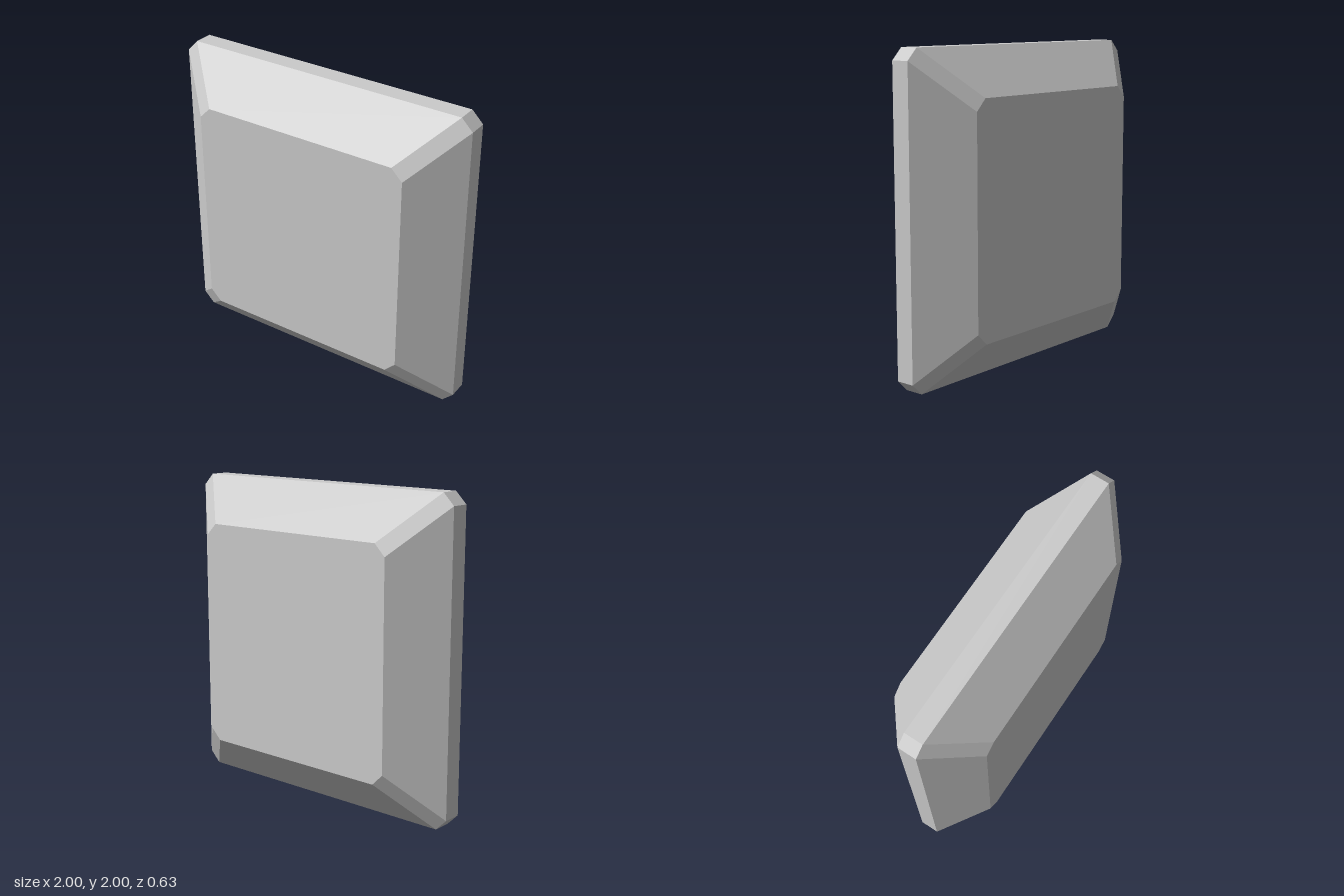
import * as THREE from 'three';

// Square outline with clipped corners, counter-clockwise seen from the front
function outline(half, clip, z) {
  const c = half - clip;
  return [[half, -c], [half, c], [c, half], [-c, half], [-half, c], [-half, -c], [-c, -half], [c, -half]]
    .map(([x, y]) => [x, y + 1, z]);
}

// Flat-shaded solid through a stack of outlines, capped at both ends
function loft(rings) {
  const pos = [];
  const tri = (a, b, c) => pos.push(...a, ...b, ...c);
  const n = rings[0].length;
  for (let k = 0; k < rings.length - 1; k++) {
    for (let i = 0; i < n; i++) {
      const j = (i + 1) % n;
      tri(rings[k][i], rings[k][j], rings[k + 1][j]);
      tri(rings[k][i], rings[k + 1][j], rings[k + 1][i]);
    }
  }
  const back = rings[0], front = rings[rings.length - 1];
  for (let i = 1; i < n - 1; i++) {
    tri(back[0], back[i + 1], back[i]);
    tri(front[0], front[i], front[i + 1]);
  }
  const geometry = new THREE.BufferGeometry();
  geometry.setAttribute('position', new THREE.Float32BufferAttribute(pos, 3));
  geometry.computeVertexNormals();
  return geometry;
}

export function createModel() {
  const group = new THREE.Group();
  group.name = 'bevelledTile';

  // Back face, rim, and front face
  const clip = 0.072;
  const geometry = loft([
    outline(0.716, clip, -0.315),
    outline(1, clip, -0.06),
    outline(1, clip, 0.06),
    outline(0.716, clip, 0.315),
  ]);
  const tile = new THREE.Mesh(geometry, new THREE.MeshStandardMaterial({ color: 0xcccccc, flatShading: true }));
  tile.name = 'tileBody';
  group.add(tile);
  return group;
}
